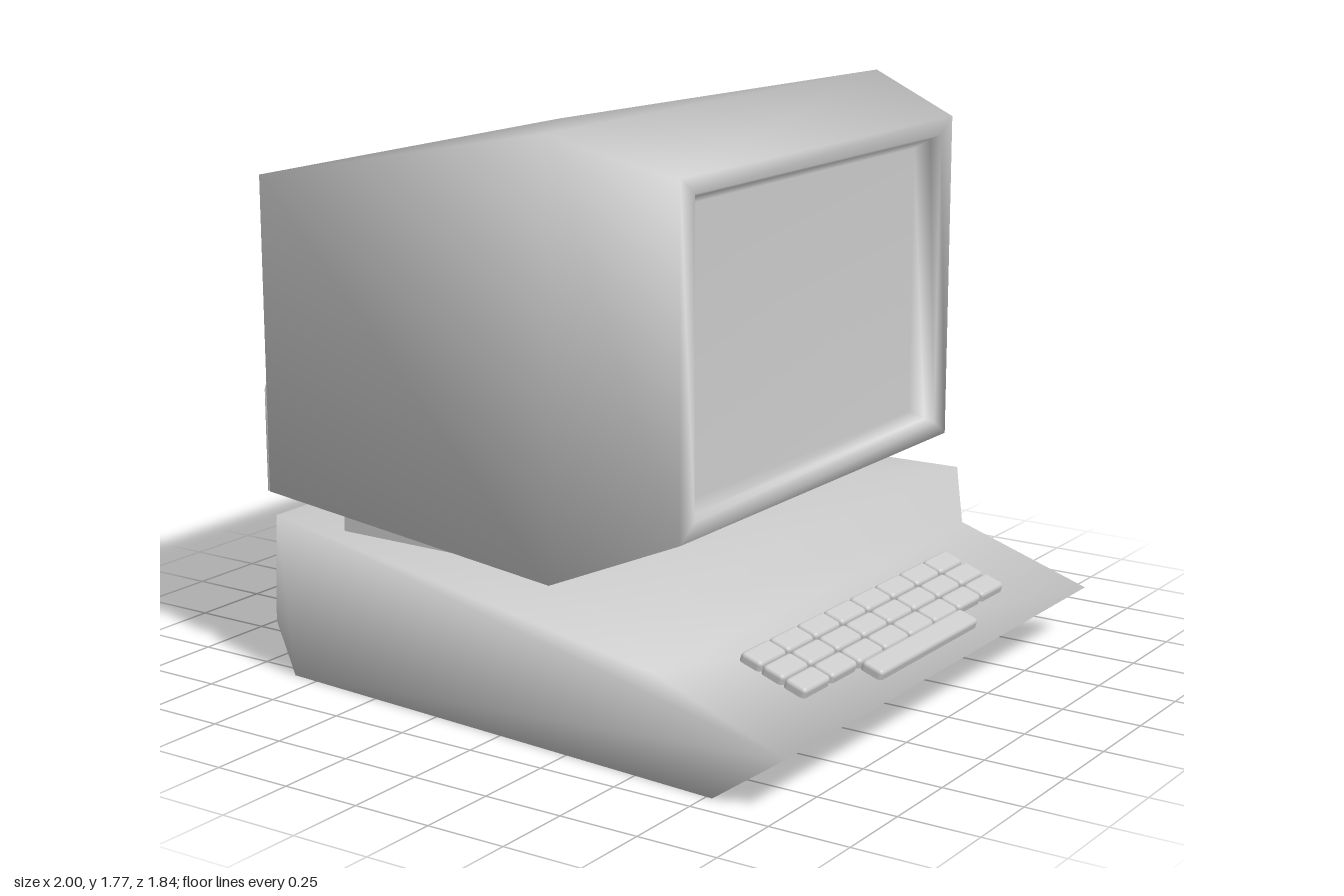
import * as THREE from 'three';
import { RoundedBoxGeometry } from 'three/addons/geometries/RoundedBoxGeometry.js';

const material = new THREE.MeshStandardMaterial({ color: 0xcccccc });

function add(parent, name, geometry, x = 0, y = 0, z = 0) {
  const mesh = new THREE.Mesh(geometry, material);
  mesh.name = name;
  mesh.position.set(x, y, z);
  parent.add(mesh);
  return mesh;
}

// Closed, smooth-shaded skin through rings of [x, y, z] points.
// Rings run counter-clockwise seen from the last ring; u and v are the axes spanning the end caps.
function loft(rings, u, v) {
  const n = rings[0].length;
  const index = [];
  for (let r = 0; r < rings.length - 1; r++) {
    for (let i = 0; i < n; i++) {
      const j = (i + 1) % n;
      const a = r * n + i, b = r * n + j;
      index.push(a, b, b + n, a, b + n, a + n);
    }
  }
  const cap = (ring) => THREE.ShapeUtils.triangulateShape(ring.map((p) => new THREE.Vector2(p[u], p[v])), []);
  const last = (rings.length - 1) * n;
  for (const [a, b, c] of cap(rings[0])) index.push(a, c, b);
  for (const [a, b, c] of cap(rings[rings.length - 1])) index.push(last + a, last + b, last + c);
  const geometry = new THREE.BufferGeometry();
  geometry.setAttribute('position', new THREE.Float32BufferAttribute(rings.flat(2), 3));
  geometry.setIndex(index);
  geometry.computeVertexNormals();
  return geometry;
}

// Upright rectangle at x
const rect = (x, y0, y1, z) => [[x, y0, -z], [x, y1, -z], [x, y1, z], [x, y0, z]];

export function createModel() {
  const model = new THREE.Group();
  model.name = 'desktopComputer';

  // Monitor: tapered shell, bezel and recessed screen
  add(model, 'monitor', loft([
    rect(-0.955, 0.56, 1.54, 0.758),
    rect(0.21, 0.5, 1.77, 0.9),
    rect(0.56, 0.64, 1.66, 0.765),
    rect(0.56, 0.69, 1.61, 0.692),
    rect(0.53, 0.7, 1.595, 0.68),
    rect(0.5, 0.73, 1.57, 0.632),
  ], 1, 2));

  // Shallow panel low on the monitor's back
  add(model, 'backPanel', loft([
    rect(-0.968, 0.56, 0.88, 0.752),
    rect(-0.95, 0.56, 0.92, 0.757),
  ], 1, 2));

  // Plinth between monitor and base
  add(model, 'monitorPlinth', new THREE.BoxGeometry(0.83, 0.07, 1.58), -0.215, 0.515, 0);

  // Base: wedge-fronted profile, a little narrower and skewed toward the back
  const front = [[0.77, 0], [1, 0.16], [0.56, 0.31], [0.54, 0.495]];
  const rightSide = [[-0.89, 0], ...front, [-0.965, 0.495], [-1, 0.16]]
    .map(([x, y]) => [x, y, -(0.885 + 0.045 * Math.min(x, 0.77) - 0.03 * y)]);
  const leftSide = [[-0.84, 0], ...front, [-0.915, 0.495], [-0.92, 0.16]]
    .map(([x, y]) => [x, y, 0.861 + 0.0765 * Math.min(x, 0.77) - 0.03 * y]);
  add(model, 'base', loft([rightSide, leftSide], 0, 1));

  // Keyboard lying on the sloping front
  const keyboard = new THREE.Group();
  keyboard.name = 'keyboard';
  const slope = Math.atan2(0.15, 0.44);
  keyboard.position.set(0.56, 0.31, 0);
  keyboard.rotation.z = -slope;
  model.add(keyboard);
  const along = (x) => (x - 0.56) / Math.cos(slope);
  const keyGeometry = new RoundedBoxGeometry(0.074, 0.06, 0.143, 2, 0.014);
  for (let row = 0; row < 3; row++) {
    for (let column = 0; column < 8; column++) {
      add(keyboard, 'key', keyGeometry, along(0.682 + row * 0.073), 0, (column - 3.5) * 0.151);
    }
  }
  add(keyboard, 'spaceBar', new RoundedBoxGeometry(0.074, 0.06, 0.59, 2, 0.014), along(0.897), 0, -0.005);

  return model;
}
